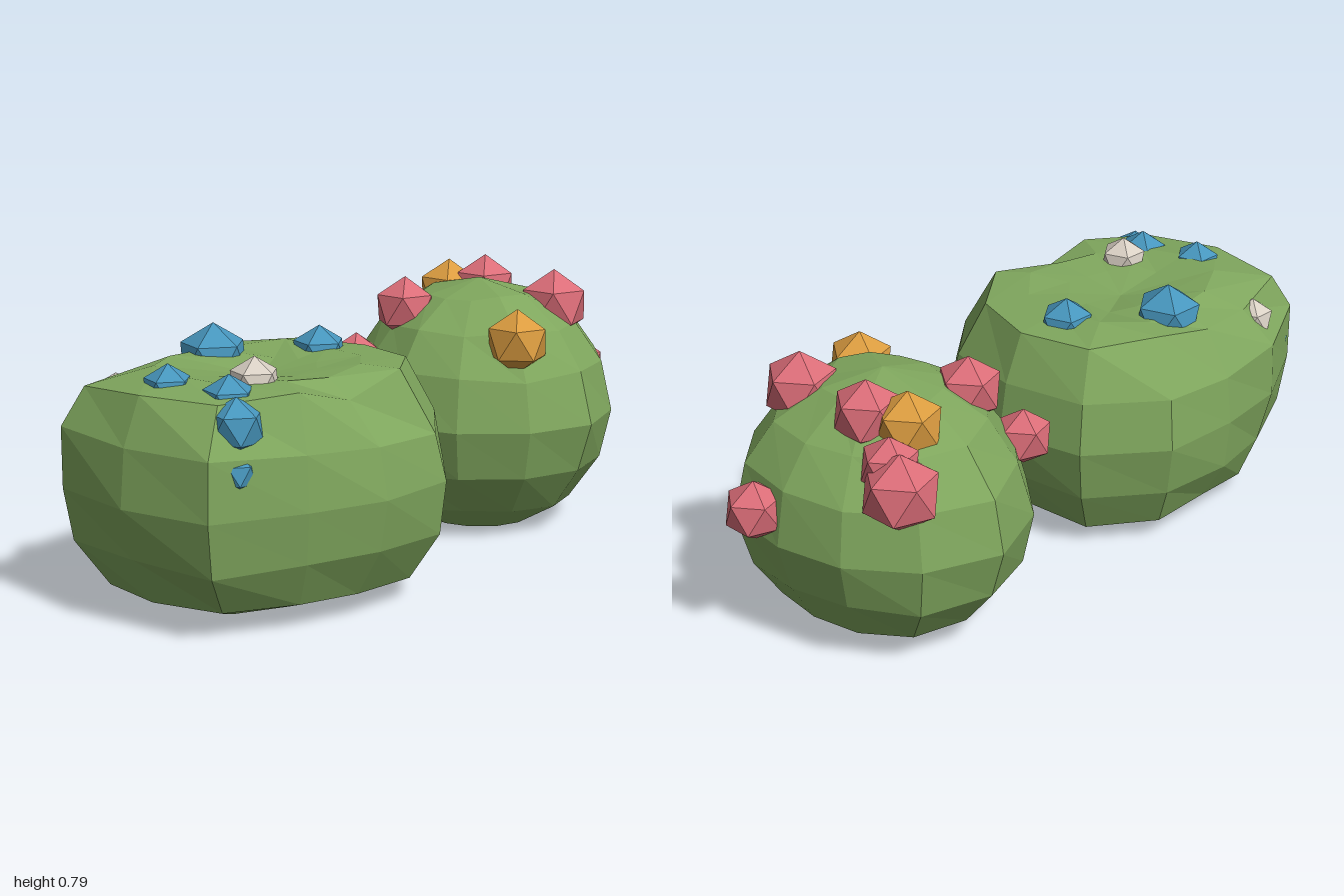
import * as THREE from 'three';

const mat = (name, color) => {
  const m = new THREE.MeshStandardMaterial({ color, flatShading: true });
  m.name = name;
  return m;
};

// Small seeded random generator, -1..1
function seeded(seed) {
  let s = seed;
  return () => {
    s = (s * 16807) % 2147483647;
    return (s / 2147483647) * 2 - 1;
  };
}

// Faceted bush: rings [radius share, y] swept over uneven radii per direction.
// A share or y may also be a list with one value per direction.
function bushGeometry(profile, radii, jitter, seed) {
  const rand = seeded(seed);
  const n = radii.length;
  const pos = [], index = [];
  const at = (v, i) => (Array.isArray(v) ? v[i] : v);
  profile.forEach(([shares, heights]) => {
    radii.forEach((r, i) => {
      const share = at(shares, i), y = at(heights, i);
      const free = !Array.isArray(shares) && share > 0.15 && share < 0.97 && y > 0.03;
      const a = (i / n) * Math.PI * 2;
      const k = free ? 1 + rand() * jitter : 1;
      const dy = free ? rand() * jitter * 0.35 : 0;
      pos.push(Math.cos(a) * r * share * k, y + dy, Math.sin(a) * r * share * k);
    });
  });
  for (let j = 0; j < profile.length - 1; j++) {
    for (let i = 0; i < n; i++) {
      const a = j * n + i, b = j * n + (i + 1) % n, c = a + n, d = b + n;
      if (profile[j][0] !== 0) index.push(a, b, c);
      if (profile[j + 1][0] !== 0) index.push(b, d, c);
    }
  }
  const g = new THREE.BufferGeometry();
  g.setAttribute('position', new THREE.Float32BufferAttribute(pos, 3));
  g.setIndex(index);
  const flat = g.toNonIndexed();
  flat.computeVertexNormals();
  return flat;
}

export function createModel() {
  const green = mat('leaf green', 0x7fa65d);
  const pink = mat('blossom pink', 0xdb6d78);
  const ochre = mat('blossom ochre', 0xdb9c40);
  const blue = mat('blossom blue', 0x4796bd);
  const cream = mat('blossom cream', 0xd9d0c4);

  // Icosahedron bud standing on one corner
  const budGeometry = new THREE.IcosahedronGeometry(1, 0);
  budGeometry.rotateX(-Math.atan2((1 + Math.sqrt(5)) / 2, 1));

  function addBuds(group, name, material, turn, list) {
    list.forEach(([x, y, z, r]) => {
      const bud = new THREE.Mesh(budGeometry, material);
      bud.name = name;
      bud.position.set(x, y, z);
      bud.rotation.y = turn;
      bud.scale.setScalar(r);
      group.add(bud);
    });
  }

  const root = new THREE.Group();
  root.name = 'floweringBushes';

  // Wide bush with an uneven rim and a slightly sunken top
  const wide = new THREE.Group();
  wide.name = 'wideBush';
  const rimShare = [0.83, 0.79, 0.75, 0.71, 0.82, 0.8, 0.86, 0.88, 0.79, 0.77, 0.71, 0.81];
  const rimY = [0.63, 0.635, 0.645, 0.59, 0.64, 0.625, 0.63, 0.615, 0.605, 0.61, 0.635, 0.63];
  const shoulderShare = [0.95, 0.95, 0.94, 0.94, 0.97, 0.98, 0.97, 1, 0.99, 0.96, 0.95, 0.95];
  const shoulderY = [0.49, 0.48, 0.47, 0.48, 0.49, 0.5, 0.5, 0.51, 0.5, 0.48, 0.49, 0.49];
  const wideBody = new THREE.Mesh(bushGeometry(
    [[0, 0.61], [0.3, 0.635], [0.54, 0.648], [rimShare, rimY], [shoulderShare, shoulderY], [1, 0.34],
      [0.945, 0.19], [0.79, 0.06], [0.55, 0.028], [0.28, 0], [0, 0]],
    [0.515, 0.53, 0.515, 0.46, 0.45, 0.55, 0.52, 0.55, 0.47, 0.44, 0.5, 0.53],
    0.03, 71), green);
  wideBody.name = 'wideFoliage';
  wideBody.position.set(-0.48, 0, 0.02);
  wide.add(wideBody);
  addBuds(wide, 'blueBlossom', blue, 0, [
    [-0.445, 0.62, -0.195, 0.104], [-0.2, 0.622, -0.02, 0.082], [-0.805, 0.62, 0, 0.072],
    [-0.765, 0.607, 0.185, 0.077], [-0.82, 0.565, 0.265, 0.08],
    [-0.85, 0.455, 0.295, 0.055], [-0.885, 0.4, -0.235, 0.06],
  ]);
  addBuds(wide, 'creamBlossom', cream, 0, [
    [-0.64, 0.635, 0.155, 0.073], [-0.73, 0.55, -0.285, 0.065],
  ]);
  root.add(wide);

  // Round bush
  const round = new THREE.Group();
  round.name = 'roundBush';
  const roundBody = new THREE.Mesh(bushGeometry(
    [[0, 0.745], [0.4, 0.705], [0.7, 0.62], [0.91, 0.5], [1, 0.35],
      [0.91, 0.2], [0.7, 0.08], [0.38, 0], [0, 0]],
    [0.39, 0.42, 0.41, 0.43, 0.42, 0.41, 0.41, 0.4, 0.42, 0.455, 0.43, 0.4],
    0.025, 293), green);
  roundBody.name = 'roundFoliage';
  roundBody.position.set(0.53, 0, -0.03);
  round.add(roundBody);
  addBuds(round, 'pinkBlossom', pink, Math.PI / 2, [
    [0.66, 0.665, 0.155, 0.108], [0.67, 0.69, -0.12, 0.098], [0.34, 0.66, -0.165, 0.096],
    [0.225, 0.505, -0.26, 0.083], [0.72, 0.605, -0.26, 0.085], [0.74, 0.557, -0.32, 0.112],
    [0.922, 0.43, 0.055, 0.0875],
  ]);
  addBuds(round, 'ochreBlossom', ochre, Math.PI / 2, [
    [0.615, 0.672, -0.22, 0.098], [0.365, 0.605, 0.245, 0.097],
  ]);
  root.add(round);

  return root;
}
